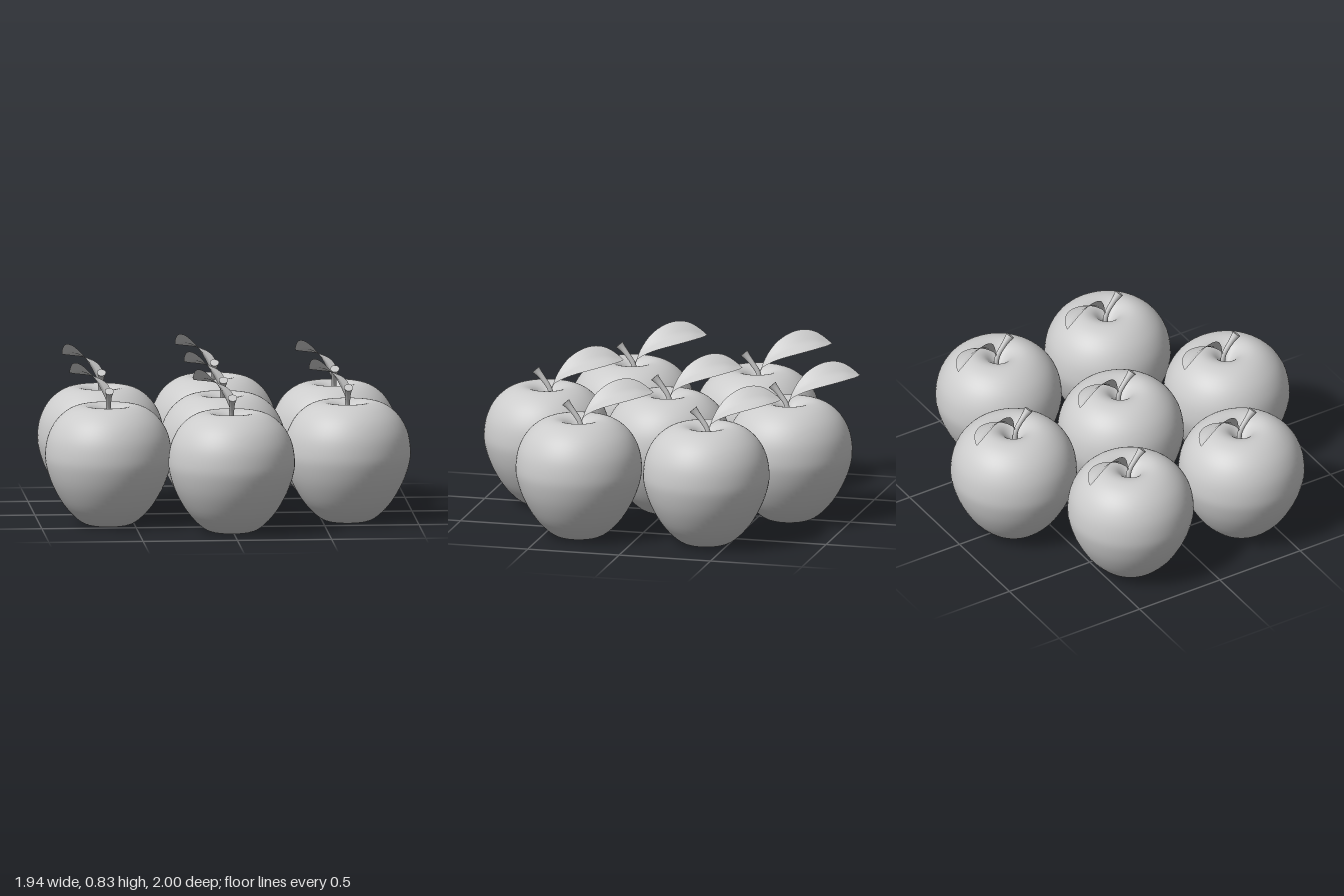
import * as THREE from 'three';

const material = new THREE.MeshStandardMaterial({ color: 0xcccccc });
const leafMaterial = new THREE.MeshStandardMaterial({ color: 0xcccccc, side: THREE.DoubleSide });

const vec3 = ([x, y, z]) => new THREE.Vector3(x, y, z);

// Fruit body: a lathed profile with a dimple below and a funnel above
function fruitGeometry() {
  const profile = new THREE.SplineCurve([
    [0, 0.04], [0.03, 0.034], [0.065, 0.01], [0.11, 0], [0.165, 0.03], [0.235, 0.105],
    [0.295, 0.21], [0.328, 0.31], [0.334, 0.385], [0.318, 0.475], [0.275, 0.555],
    [0.21, 0.612], [0.14, 0.635], [0.08, 0.62], [0.035, 0.575], [0, 0.53],
  ].map(([r, y]) => new THREE.Vector2(r, y)));
  const points = profile.getPoints(60);
  points.forEach((p) => { p.x = Math.max(p.x, 0); });
  return new THREE.LatheGeometry(points, 64);
}

// Stem: a cylinder bent forward along a curve, flaring at its cut end
function stemGeometry() {
  const path = new THREE.CatmullRomCurve3([
    [0, 0.51, -0.012], [0, 0.61, -0.008], [0, 0.675, 0.033], [0, 0.72, 0.072],
  ].map(vec3));
  const geometry = new THREE.CylinderGeometry(1, 1, 1, 14, 16);
  const pos = geometry.attributes.position;
  for (let i = 0; i < pos.count; i++) {
    const t = pos.getY(i) + 0.5;
    const p = path.getPoint(t);
    const dir = path.getTangent(t);
    const radius = 0.013 + 0.011 * t ** 5;
    const z = pos.getZ(i) * radius;
    pos.setXYZ(i, pos.getX(i) * radius, p.y - dir.z * z, p.z + dir.y * z);
  }
  geometry.computeVertexNormals();
  return geometry;
}

// Leaf: a sheet swept along an arching midrib, tilted and slightly folded
function leafGeometry() {
  const midrib = new THREE.CatmullRomCurve3([
    [0, 0.55, -0.01], [-0.003, 0.64, -0.022], [-0.025, 0.715, -0.09],
    [-0.07, 0.762, -0.19], [-0.125, 0.775, -0.285], [-0.178, 0.757, -0.362],
  ].map(vec3));
  const side = vec3([-0.06, 0.046, 0.028]);
  const fold = vec3([0.008, 0.014, 0]);
  const geometry = new THREE.PlaneGeometry(2, 1, 8, 28);
  const pos = geometry.attributes.position;
  for (let i = 0; i < pos.count; i++) {
    const across = pos.getX(i);
    const t = pos.getY(i) + 0.5;
    // Narrow stalk first, then a blade widest past its middle
    const blade = Math.max(0, (t - 0.2) / 0.8);
    const width = Math.max(0.07 * (1 - t), Math.sin(Math.PI * blade ** 1.15) ** 0.85 || 0);
    const p = midrib.getPoint(t)
      .addScaledVector(side, across * width)
      .addScaledVector(fold, Math.abs(across) * width);
    pos.setXYZ(i, p.x, p.y, p.z);
  }
  geometry.computeVertexNormals();
  return geometry;
}

export function createModel() {
  const model = new THREE.Group();
  model.name = 'apples';
  const fruit = fruitGeometry();
  const stem = stemGeometry();
  const leaf = leafGeometry();

  // One apple in the middle and six around it: x, z, stem offset along z
  const places = [
    [-0.005, 0, 0], [-0.005, -0.666, 0.022], [-0.005, 0.66, -0.01],
    [-0.628, -0.325, 0], [0.614, -0.375, 0],
    [-0.637, 0.36, 0], [0.635, 0.317, 0],
  ];
  for (const [x, z, stemShift] of places) {
    const apple = new THREE.Group();
    apple.name = 'apple';
    apple.position.set(x, 0, z);
    const parts = [
      ['fruit', fruit, material, 0],
      ['stem', stem, material, stemShift],
      ['leaf', leaf, leafMaterial, stemShift],
    ];
    for (const [name, geometry, mat, shift] of parts) {
      const mesh = new THREE.Mesh(geometry, mat);
      mesh.name = name;
      mesh.position.z = shift;
      apple.add(mesh);
    }
    model.add(apple);
  }
  return model;
}
